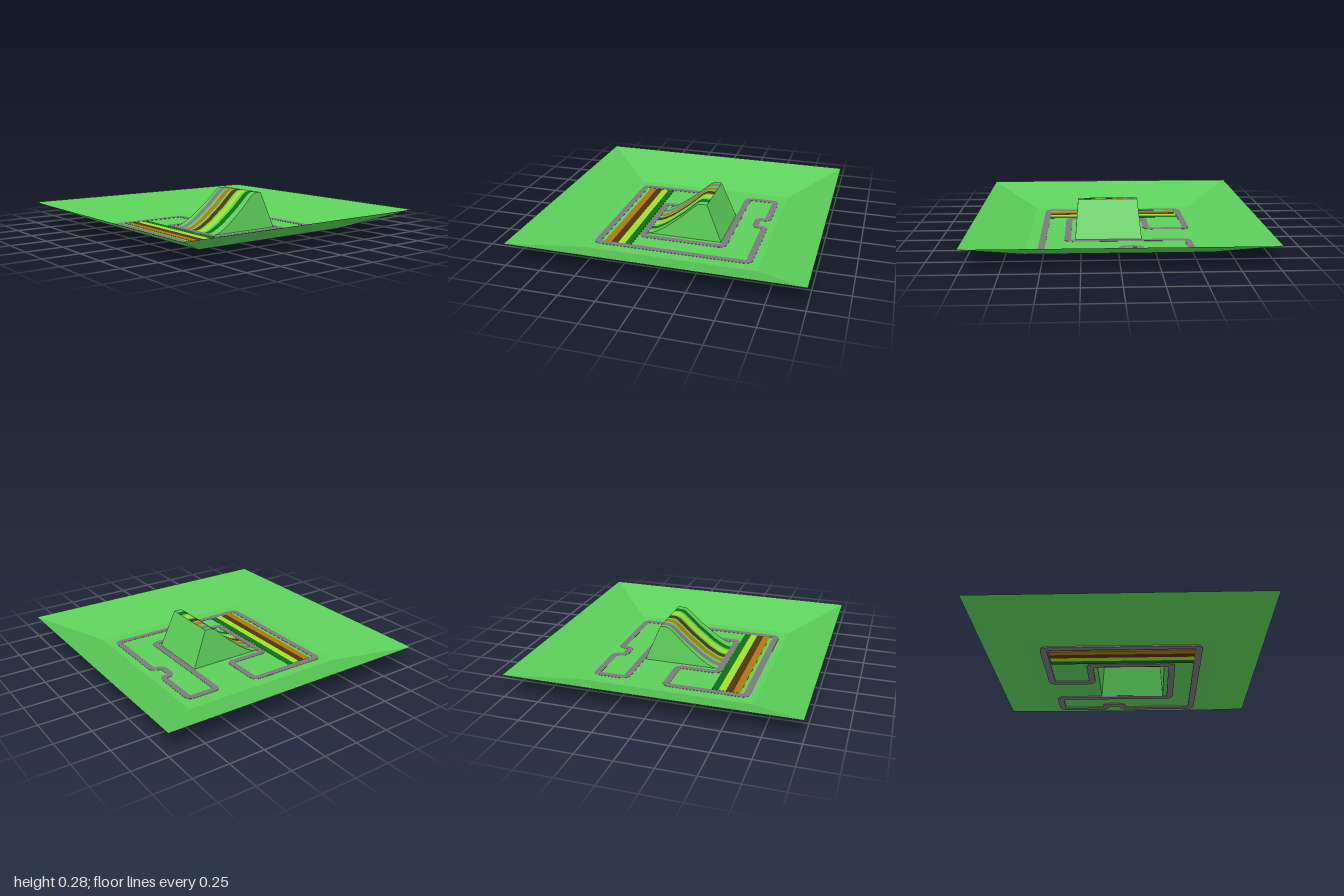
import * as THREE from 'three';

const paint = (name, color) => new THREE.MeshStandardMaterial({ name, color, side: THREE.DoubleSide });
const grass = paint('grass green', 0x5ccf5a);
const grey = paint('road grey', 0x7d787e);
const darkGreen = paint('dark green', 0x0c7016);
const lime = paint('lime yellow', 0xa2de26);
const brown = paint('brown', 0x50340f);
const orange = paint('orange', 0xae770c);

const FLOOR = 0.008, PLATE = 0.0095;

function add(parent, name, geometry, material) {
  const mesh = new THREE.Mesh(geometry, material);
  mesh.name = name;
  parent.add(mesh);
  return mesh;
}

// Sheet between two matching rows of [x, y, z] points
function sheet(a, b) {
  const pos = [], index = [];
  a.forEach((p, i) => {
    pos.push(...p, ...b[i]);
    if (i) {
      const k = 2 * i;
      index.push(k - 2, k, k - 1, k - 1, k, k + 1);
    }
  });
  const g = new THREE.BufferGeometry();
  g.setAttribute('position', new THREE.Float32BufferAttribute(pos, 3));
  g.setIndex(index);
  g.computeVertexNormals();
  return g;
}

// Closed path with rounded corners
function roundedLoop(corners, radius) {
  const pts = [];
  corners.forEach((c, i) => {
    const p = new THREE.Vector2(...c);
    const toward = (q) => new THREE.Vector2(...q).sub(p).setLength(radius).add(p);
    const a = toward(corners.at(i - 1)), b = toward(corners[(i + 1) % corners.length]);
    pts.push(...new THREE.QuadraticBezierCurve(a, p, b).getPoints(4));
  });
  return pts;
}

// Loop moved sideways by d
function offsetLoop(pts, d) {
  return pts.map((p, i) => {
    const before = p.clone().sub(pts.at(i - 1)).normalize();
    const after = pts[(i + 1) % pts.length].clone().sub(p).normalize();
    const t = before.add(after).normalize();
    return new THREE.Vector2(p.x - t.y * d, p.y + t.x * d);
  });
}

function rectangle(Kind, x0, x1, z0, z1) {
  return new Kind([[x0, z0], [x1, z0], [x1, z1], [x0, z1]].map((p) => new THREE.Vector2(...p)));
}

export function createModel() {
  const model = new THREE.Group();
  model.name = 'raceTrackBasin';

  // Floor, open beneath the hill
  const floorShape = rectangle(THREE.Shape, -0.625, 0.625, -0.625, 0.625);
  floorShape.holes.push(rectangle(THREE.Path, -0.178, 0.293, -0.3, 0.25));
  add(model, 'floor', new THREE.ShapeGeometry(floorShape).rotateX(Math.PI / 2).translate(0, FLOOR, 0), grass);

  // Four sloping banks
  const h = 0.16 - FLOOR;
  const banks = new THREE.CylinderGeometry(Math.SQRT2, 0.625 * Math.SQRT2, h, 4, 1, true)
    .rotateY(Math.PI / 4).translate(0, FLOOR + h / 2, 0).toNonIndexed();
  banks.computeVertexNormals();
  add(model, 'banks', banks, grass);

  // Winding road
  const centre = roundedLoop([
    [-0.528, 0.547], [-0.528, -0.027], [-0.232, -0.027], [-0.232, 0.272],
    [0.347, 0.272], [0.347, -0.327], [-0.503, -0.327], [-0.503, -0.55],
    [-0.157, -0.55], [-0.157, -0.478], [-0.025, -0.478], [-0.025, -0.55],
    [0.522, -0.55], [0.522, 0.547],
  ], 0.034);
  const sides = [0.0235, -0.0235].map((d) => offsetLoop(centre, d));
  sides.sort((a, b) => Math.abs(THREE.ShapeUtils.area(b)) - Math.abs(THREE.ShapeUtils.area(a)));
  const roadShape = new THREE.Shape(sides[0]);
  roadShape.holes.push(new THREE.Path(sides[1]));
  const road = new THREE.ExtrudeGeometry(roadShape, { depth: PLATE, bevelEnabled: false });
  add(model, 'road', road.rotateX(Math.PI / 2).translate(0, PLATE, 0), grey);

  // Coloured lanes on the floor
  [[darkGreen, 0.298, 0.346], [lime, 0.346, 0.397], [brown, 0.397, 0.447], [orange, 0.447, 0.498]]
    .forEach(([material, z0, z1]) => {
      const lane = new THREE.BoxGeometry(0.998, PLATE - 0.003, z1 - z0);
      add(model, 'floorLane', lane.translate(0, PLATE / 2 + 0.0015, (z0 + z1) / 2), material);
    });

  // Hill with a curved ramp; its profile is [z, y]
  const hill = new THREE.Group();
  hill.name = 'hill';
  model.add(hill);
  const profile = [[0.25, FLOOR], [0.215, 0.014], [0.18, 0.03], [0.12, 0.066], [0, 0.16],
    [-0.08, 0.235], [-0.11, 0.261], [-0.13, 0.272], [-0.15, 0.275], [-0.19, 0.275]];
  const row = (x) => profile.map(([z, y]) => [typeof x === 'function' ? x(y) : x, y, z]);
  const rightEdge = (y) => -0.178 + 0.1 * (y - FLOOR);
  const leftEdge = (y) => 0.293 - 0.08 * (y - FLOOR);

  // Ramp stripes side by side
  const edges = [rightEdge, -0.127, -0.077, -0.05, 0, 0.024, 0.073, 0.096, 0.147, 0.175, 0.225, leftEdge];
  const colours = [grass, grey, grass, orange, grass, brown, grass, lime, grass, darkGreen, grass];
  colours.forEach((material, i) => {
    add(hill, 'rampStripe', sheet(row(edges[i]), row(edges[i + 1])), material);
  });

  // Side walls and back
  for (const edge of [rightEdge, leftEdge]) {
    const base = profile.map(([z]) => [edge(FLOOR), FLOOR, z]);
    add(hill, 'hillSide', sheet([...row(edge), [edge(FLOOR), FLOOR, -0.3]],
      [...base, [edge(FLOOR), FLOOR, -0.3]]), grass);
  }
  add(hill, 'hillBack', sheet(
    [[rightEdge(0.275), 0.275, -0.19], [rightEdge(FLOOR), FLOOR, -0.3]],
    [[leftEdge(0.275), 0.275, -0.19], [leftEdge(FLOOR), FLOOR, -0.3]]), grass);

  return model;
}
